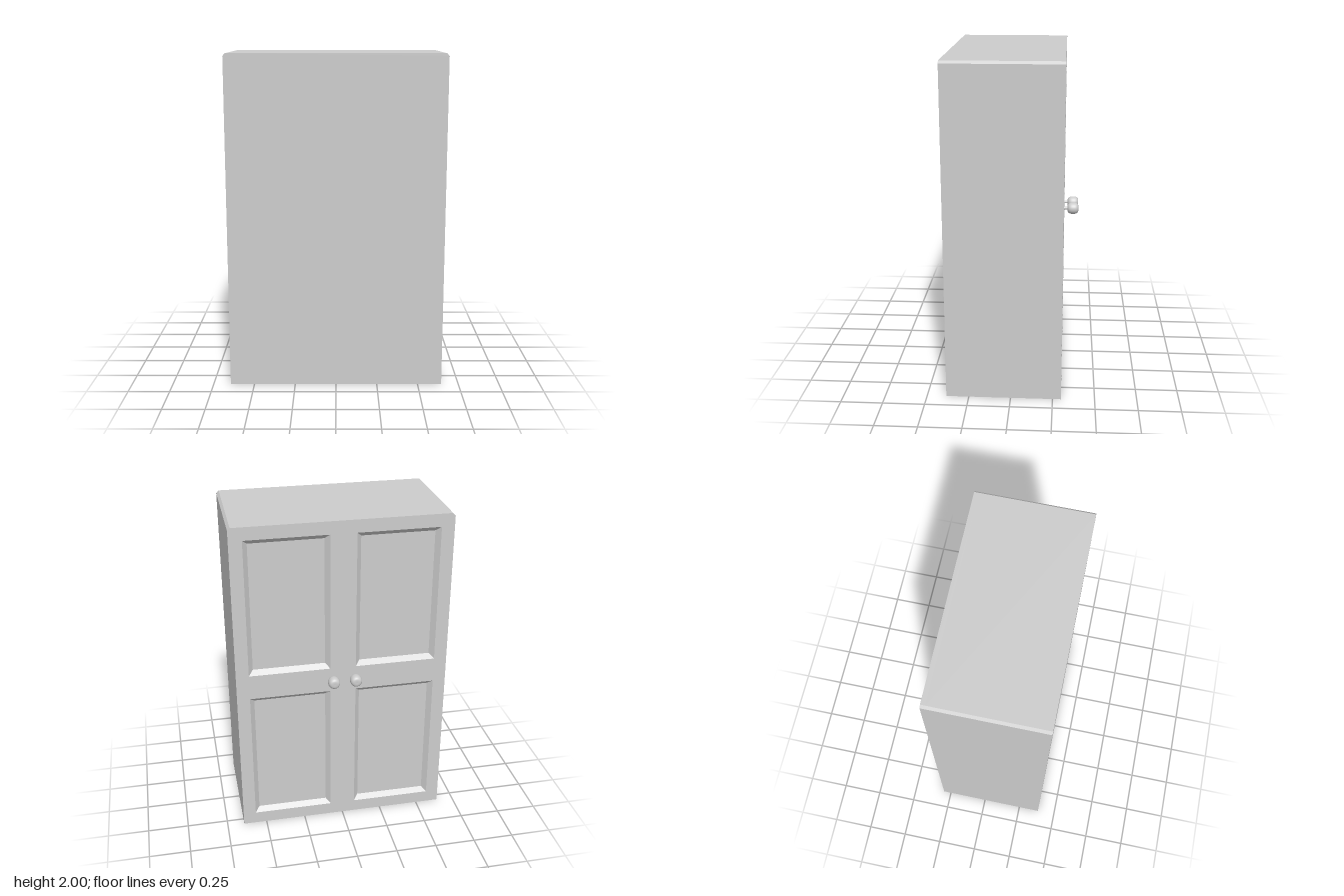
import * as THREE from 'three';

const HALF_W = 0.645, HEIGHT = 2, CHAMFER = 0.015;
const Z_DOOR = -0.3, Z_PLAIN = 0.385;
const RAIL = 0.0775, BEVEL = 0.028;

const grey = new THREE.MeshStandardMaterial({ color: 0xcccccc });
grey.name = 'plain grey';

// Cabinet outline with the two upper corners cut off
function outline() {
  return new THREE.Shape([
    [-HALF_W, 0], [HALF_W, 0], [HALF_W, HEIGHT - CHAMFER], [HALF_W - CHAMFER, HEIGHT],
    [-HALF_W + CHAMFER, HEIGHT], [-HALF_W, HEIGHT - CHAMFER],
  ].map(([x, y]) => new THREE.Vector2(x, y)));
}

function extrude(shape, z0, z1) {
  const g = new THREE.ExtrudeGeometry(shape, { depth: z1 - z0, bevelEnabled: false });
  return g.translate(0, 0, z0);
}

// Door frame with four recesses whose walls slope inwards
function doorFrameGeometry() {
  const shape = outline();
  const mid = HEIGHT / 2;
  for (const sx of [-1, 1]) {
    for (const sy of [-1, 1]) {
      const x0 = sx * RAIL, x1 = sx * (HALF_W - RAIL);
      const y0 = mid + sy * RAIL, y1 = mid + sy * (mid - RAIL);
      shape.holes.push(new THREE.Path([[x0, y0], [x1, y0], [x1, y1], [x0, y1]]
        .map(([x, y]) => new THREE.Vector2(x, y))));
    }
  }
  const zFloor = Z_DOOR + BEVEL;
  const g = extrude(shape, Z_DOOR, zFloor);
  const p = g.attributes.position;
  // Pull the deep hole corners towards the middle of each recess
  const cx = HALF_W / 2, cy = mid / 2;
  for (let i = 0; i < p.count; i++) {
    const x = p.getX(i), y = p.getY(i);
    const onHole = Math.abs(x) < HALF_W - RAIL / 2 && y > RAIL / 2 && y < HEIGHT - RAIL / 2;
    if (!onHole || p.getZ(i) < zFloor - BEVEL / 2) continue;
    const px = Math.sign(x) * cx, py = mid + Math.sign(y - mid) * cy;
    p.setXY(i, x + Math.sign(px - x) * BEVEL, y + Math.sign(py - y) * BEVEL);
  }
  g.computeVertexNormals();
  return g;
}

// Rounded, slightly squared knob on a short stem
function makeKnob(name) {
  const knob = new THREE.Group();
  knob.name = name;
  const profile = new THREE.SplineCurve([
    [0, 0.019], [0.014, 0.02], [0.027, 0.026], [0.034, 0.038], [0.036, 0.053],
    [0.034, 0.072], [0.026, 0.084], [0.014, 0.088], [0, 0.088],
  ].map(([x, y]) => new THREE.Vector2(x, y))).getPoints(24);
  profile.forEach((v) => { v.x = Math.max(v.x, 0); });
  const head = new THREE.Mesh(new THREE.LatheGeometry(profile, 28), grey);
  head.name = 'knobHead';
  const stem = new THREE.Mesh(
    new THREE.CylinderGeometry(0.009, 0.009, 0.03, 16).translate(0, 0.012, 0), grey);
  stem.name = 'knobStem';
  knob.add(head, stem);
  knob.rotation.x = -Math.PI / 2;
  return knob;
}

export function createModel() {
  const model = new THREE.Group();
  model.name = 'cabinet';

  const body = new THREE.Mesh(extrude(outline(), Z_DOOR + BEVEL, Z_PLAIN), grey);
  body.name = 'cabinetBody';
  const doors = new THREE.Mesh(doorFrameGeometry(), grey);
  doors.name = 'panelledDoors';
  model.add(body, doors);

  for (const side of [-1, 1]) {
    const knob = makeKnob(side > 0 ? 'leftKnob' : 'rightKnob');
    knob.position.set(side * 0.067, 1.012, Z_DOOR);
    model.add(knob);
  }
  return model;
}
